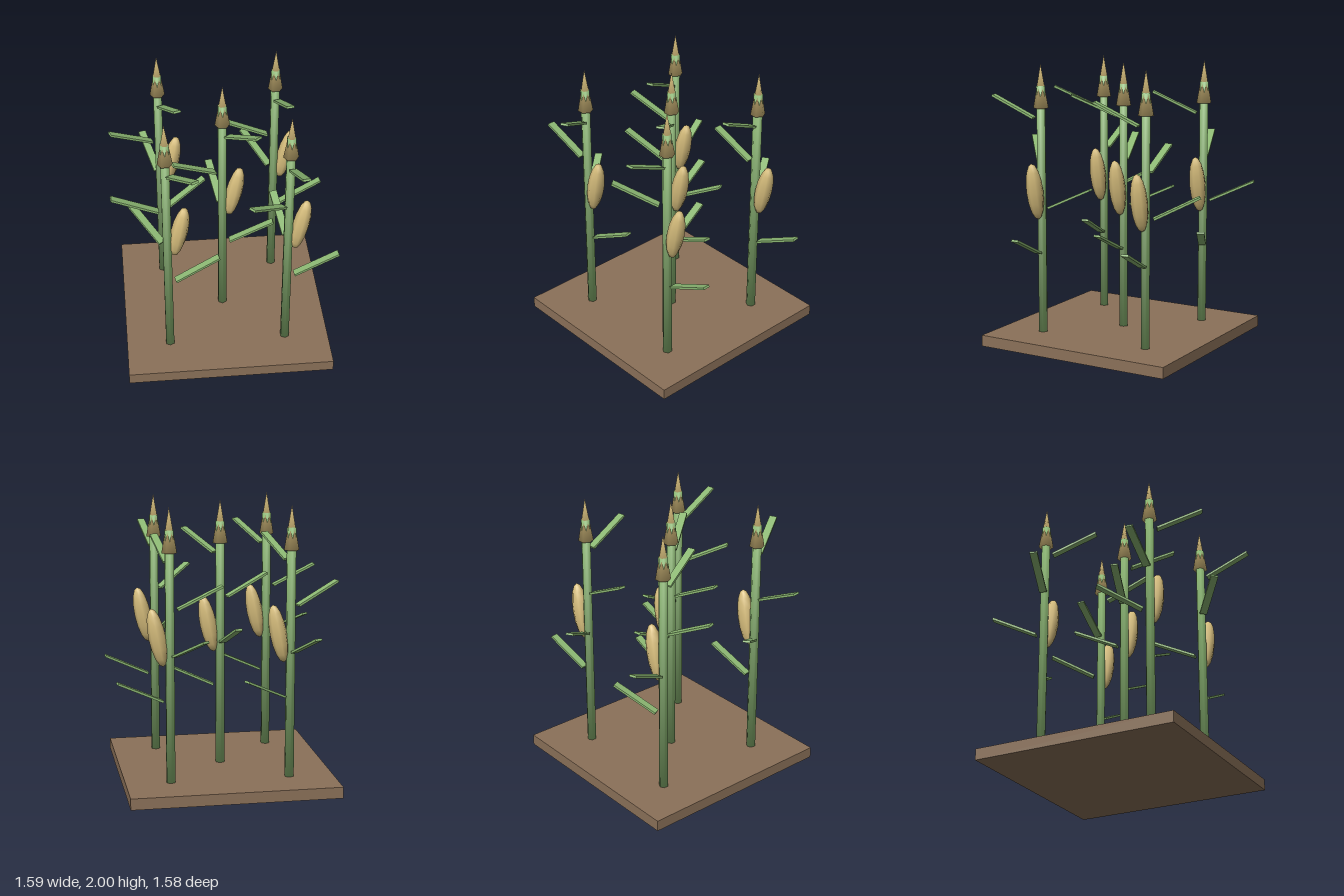
import * as THREE from 'three';

const mat = (name, color) => {
  const m = new THREE.MeshStandardMaterial({ color });
  m.name = name;
  return m;
};

export function createModel() {
  const soil = mat('soil brown', 0x8b7159);
  const green = mat('plant green', 0x8cb873);
  const tan = mat('ear tan', 0xd6bd7c);

  const model = new THREE.Group();
  model.name = 'cornPatch';
  const add = (parent, name, geometry, material, x, y, z) => {
    const mesh = new THREE.Mesh(geometry, material);
    mesh.name = name;
    mesh.position.set(x, y, z);
    parent.add(mesh);
    return mesh;
  };

  // Soft shading: side normals lean outward at both ends
  const softenEnds = (geometry, lean) => {
    const p = geometry.attributes.position;
    const n = geometry.attributes.normal;
    const v = new THREE.Vector3();
    for (let i = 0; i < p.count; i++) {
      v.set(p.getX(i), 0, p.getZ(i));
      if (v.lengthSq() > 0) v.normalize();
      v.y = Math.sign(p.getY(i)) * lean;
      v.normalize();
      n.setXYZ(i, v.x, v.y, v.z);
    }
    return geometry;
  };

  const stalkGeo = softenEnds(new THREE.CylinderGeometry(0.034, 0.034, 1.77, 6), 0.7);
  const tasselGeo = softenEnds(new THREE.ConeGeometry(0.053, 0.31, 6, 1, false, Math.PI / 6), 0.7);
  const earGeo = new THREE.SphereGeometry(1, 8, 8).scale(0.06, 0.208, 0.06);
  const leafGeo = new THREE.BoxGeometry(0.35, 0.016, 0.054);
  const leafHeights = [0.74, 1.06, 1.375, 1.692];

  // Soil slab
  add(model, 'soil', new THREE.BoxGeometry(1.472, 0.08, 1.472), soil, 0, 0.04, -0.006);

  // Each plant: x, z and the compass angles of its four leaves, lowest first
  const plants = [
    [-0.422, -0.427, [25, 107.6, 198, 288.6]],
    [0.42, -0.427, [8, 122.6, 184, 279.2]],
    [0, -0.006, [0.7, 100.8, 196.6, 306]],
    [-0.422, 0.415, [9, 128.4, 184.6, 298.6]],
    [0.42, 0.415, [3.3, 100, 220.3, 278]],
  ];
  for (const [x, z, angles] of plants) {
    const plant = new THREE.Group();
    plant.name = 'cornPlant';
    plant.position.set(x, 0, z);
    model.add(plant);

    add(plant, 'stalk', stalkGeo, green, 0, 0.96, 0);
    add(plant, 'tassel', tasselGeo, tan, 0, 1.845, 0);
    add(plant, 'ear', earGeo, tan, 0.086, 1.11, 0).rotation.z = -0.2;

    // Leaves rise outward around the stalk
    angles.forEach((angle, i) => {
      const pivot = new THREE.Group();
      pivot.name = 'leafPivot';
      pivot.rotation.y = THREE.MathUtils.degToRad(angle);
      plant.add(pivot);
      add(pivot, 'leaf', leafGeo, green, 0.212, leafHeights[i], 0).rotation.z = THREE.MathUtils.degToRad(25);
    });
  }
  return model;
}
